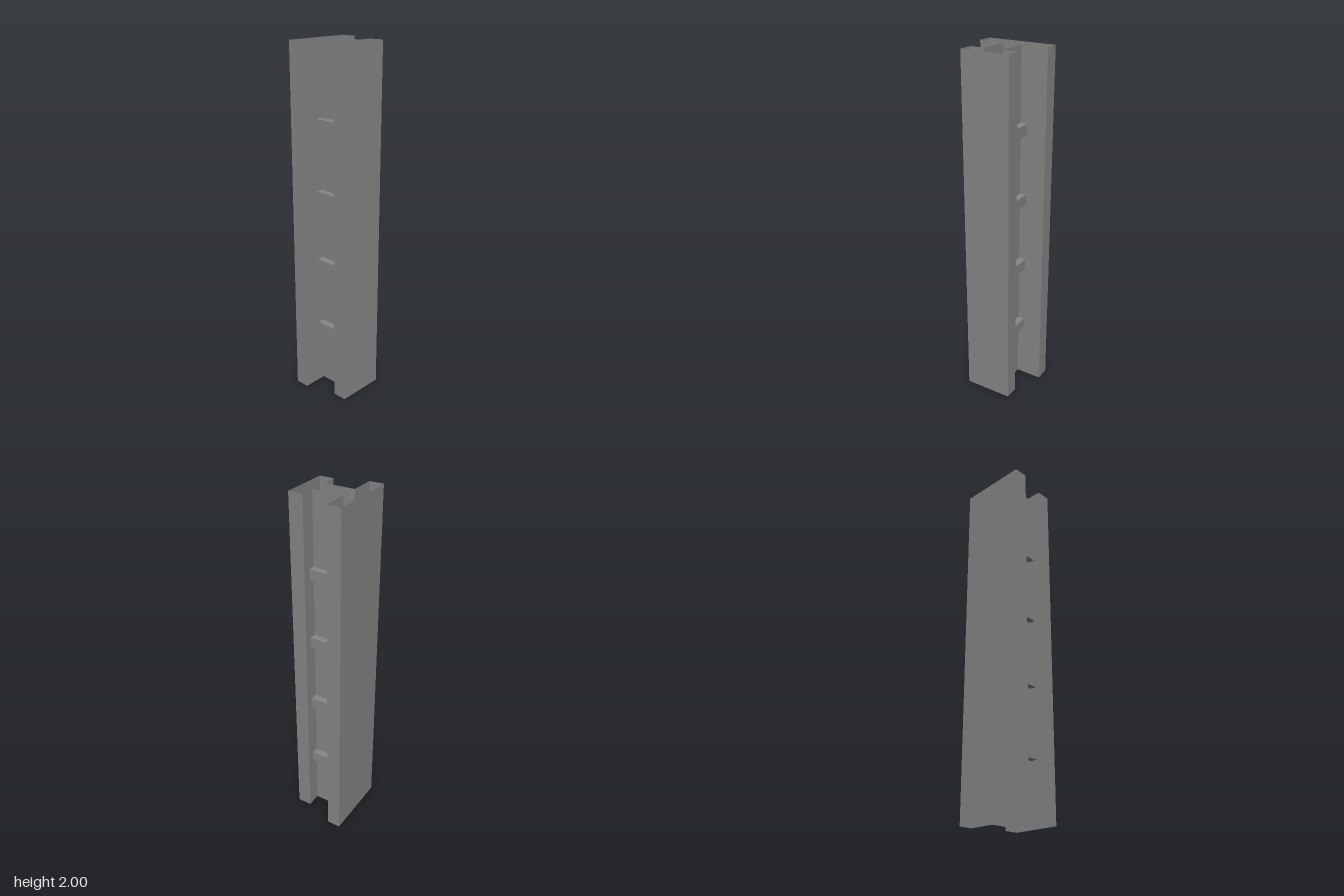
import * as THREE from 'three';

const HEIGHT = 2;
const IN_L = -0.0875, IN_R = 0.086;    // inner faces of the two columns
const WEB_F = 0.057, WEB_B = -0.049;   // front and back web planes
const GREY = 0x868686;

// Open-ended wall swept straight up from a closed [x, z] outline, one quad per edge
function openShell(outline, height) {
  const pos = [];
  outline.forEach(([ax, az], i) => {
    const [bx, bz] = outline[(i + 1) % outline.length];
    pos.push(ax, 0, az, bx, 0, bz, bx, height, bz);
    pos.push(ax, 0, az, bx, height, bz, ax, height, az);
  });
  const geo = new THREE.BufferGeometry();
  geo.setAttribute('position', new THREE.Float32BufferAttribute(pos, 3));
  geo.computeVertexNormals();
  return geo;
}

export function createModel() {
  const model = new THREE.Group();
  model.name = 'ladderColumn';
  const wallMat = new THREE.MeshStandardMaterial({ color: GREY, side: THREE.DoubleSide });
  const rungMat = new THREE.MeshStandardMaterial({ color: GREY });

  // H-shaped hollow post: deep flange on -x, shallower flange on +x
  const outline = [
    [-0.168, 0.2], [IN_L, 0.2], [IN_L, WEB_F], [IN_R, WEB_F], [IN_R, 0.145], [0.168, 0.145],
    [0.168, -0.133], [IN_R, -0.133], [IN_R, WEB_B], [IN_L, WEB_B], [IN_L, -0.2], [-0.168, -0.2],
  ];
  const post = new THREE.Mesh(openShell(outline, HEIGHT), wallMat);
  post.name = 'post';
  model.add(post);

  // Rungs across both recesses
  const rungGeo = new THREE.BoxGeometry(IN_R - IN_L, 0.061, 0.04);
  for (const [name, z] of [['frontRung', WEB_F + 0.02], ['backRung', WEB_B - 0.02]]) {
    for (let i = 0; i < 4; i++) {
      const rung = new THREE.Mesh(rungGeo, rungMat);
      rung.name = name + (i + 1);
      rung.position.set((IN_L + IN_R) / 2, 0.362 + i * 0.401, z);
      model.add(rung);
    }
  }
  return model;
}
